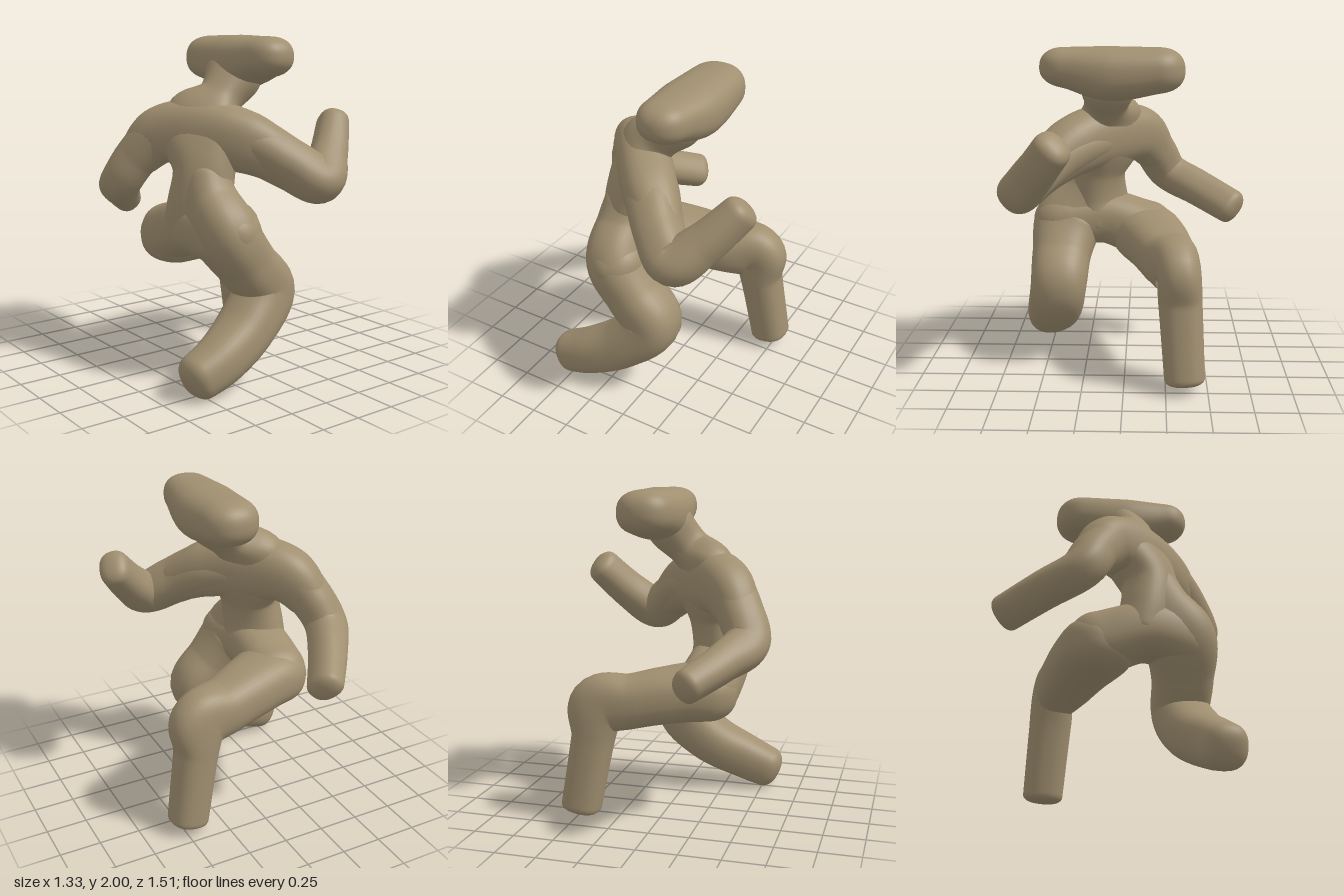
import * as THREE from 'three';

const material = new THREE.MeshStandardMaterial({ color: 0xa08f70 });

// Smooth limb: sections are [x, y, z, radius in bend plane, radius along axis],
// axis is the normal of the bend plane, capA/capB are the lengths of the rounded ends.
function limb(name, axis, sections, capA, capB, rings = 80, sides = 36) {
  const path = new THREE.CatmullRomCurve3(sections.map(s => new THREE.Vector3(s[0], s[1], s[2])));
  const radii = new THREE.CatmullRomCurve3(sections.map(s => new THREE.Vector3(s[3], s[4], 0)));
  const ref = new THREE.Vector3(...axis).normalize();
  const start = path.getPoint(0), end = path.getPoint(1);
  const round = d => {
    const q = 1 - Math.min(1, d);
    return Math.pow(Math.max(0, 1 - Math.pow(q, 2.4)), 1 / 2.4);
  };
  const power = v => Math.sign(v) * Math.pow(Math.abs(v), 0.84);
  const position = [], index = [];
  for (let i = 0; i <= rings; i++) {
    const t = (1 - Math.cos(Math.PI * i / rings)) / 2;
    const centre = path.getPoint(t), r = radii.getPoint(t), tangent = path.getTangent(t);
    const side = tangent.clone().cross(ref).normalize();
    const other = tangent.clone().cross(side);
    const scale = round(centre.distanceTo(start) / capA) * round(centre.distanceTo(end) / capB);
    for (let j = 0; j < sides; j++) {
      const a = 2 * Math.PI * j / sides;
      const p = centre.clone()
        .addScaledVector(side, r.x * scale * power(Math.cos(a)))
        .addScaledVector(other, r.y * scale * power(Math.sin(a)));
      position.push(p.x, p.y, p.z);
      if (i < rings) {
        const k = i * sides + j, l = i * sides + (j + 1) % sides;
        index.push(k, l, k + sides, l, l + sides, k + sides);
      }
    }
  }
  const geometry = new THREE.BufferGeometry();
  geometry.setAttribute('position', new THREE.Float32BufferAttribute(position, 3));
  geometry.setIndex(index);
  geometry.computeVertexNormals();
  const mesh = new THREE.Mesh(geometry, material);
  mesh.name = name;
  return mesh;
}

export function createModel() {
  const figure = new THREE.Group();
  figure.name = 'kneelingFigure';

  // Wide head, stretched sideways
  figure.add(limb('head', [0, 1, 0], [
    [0.10, 1.865, -0.355, 0.14, 0.12],
    [0.10, 1.86, -0.20, 0.175, 0.135],
    [0.095, 1.84, 0.08, 0.195, 0.16],
    [0.085, 1.875, 0.35, 0.155, 0.12],
    [0.08, 1.885, 0.505, 0.13, 0.105],
  ], 0.14, 0.14));

  // Torso, turned diagonally at the shoulders, narrowing to the neck
  figure.add(limb('torso', [0.7, 0, 0.75], [
    [-0.27, 0.77, 0.14, 0.14, 0.17],
    [-0.27, 0.88, 0.15, 0.16, 0.20],
    [-0.275, 1.02, 0.18, 0.155, 0.19],
    [-0.25, 1.20, 0.19, 0.16, 0.18],
    [-0.205, 1.40, 0.13, 0.165, 0.26],
    [-0.18, 1.53, 0.12, 0.145, 0.24],
    [-0.08, 1.64, 0.12, 0.125, 0.13],
    [0.03, 1.76, 0.10, 0.14, 0.17],
    [0.09, 1.86, 0.09, 0.12, 0.14],
  ], 0.1, 0.1));

  // Shoulder girdle, blending the chest into both upper arms
  figure.add(limb('shoulders', [0, 1, 0], [
    [-0.50, 1.22, -0.22, 0.11, 0.11],
    [-0.37, 1.41, -0.08, 0.15, 0.175],
    [-0.20, 1.43, 0.13, 0.165, 0.20],
    [-0.03, 1.38, 0.33, 0.16, 0.18],
    [0.18, 1.23, 0.53, 0.11, 0.12],
  ], 0.1, 0.1));

  // Pelvis, spanning from hip to hip
  figure.add(limb('pelvis', [0, 1, 0], [
    [-0.25, 0.78, -0.31, 0.16, 0.15],
    [-0.26, 0.81, -0.12, 0.19, 0.18],
    [-0.27, 0.89, 0.14, 0.185, 0.17],
    [-0.23, 0.87, 0.38, 0.18, 0.18],
    [-0.17, 0.82, 0.58, 0.14, 0.15],
  ], 0.16, 0.16));

  // Left arm, swung back
  figure.add(limb('leftArm', [0.079, -0.122, 0.109], [
    [-0.22, 1.44, 0.10, 0.12, 0.13],
    [-0.36, 1.43, -0.07, 0.145, 0.14],
    [-0.47, 1.29, -0.18, 0.135, 0.13],
    [-0.53, 1.14, -0.27, 0.135, 0.12],
    [-0.43, 1.05, -0.46, 0.11, 0.115],
    [-0.25, 0.935, -0.715, 0.09, 0.11],
  ], 0.1, 0.06));

  // Right arm, bent up in front
  figure.add(limb('rightArm', [-0.039, 0.155, 0.155], [
    [-0.20, 1.43, 0.10, 0.13, 0.14],
    [-0.02, 1.38, 0.33, 0.15, 0.16],
    [0.14, 1.26, 0.51, 0.14, 0.145],
    [0.28, 1.175, 0.605, 0.14, 0.13],
    [0.42, 1.285, 0.52, 0.115, 0.12],
    [0.61, 1.51, 0.36, 0.09, 0.11],
  ], 0.1, 0.07));

  // Left leg, thigh level and foot planted
  figure.add(limb('leftLeg', [0, 0, 1], [
    [-0.44, 0.77, -0.08, 0.15, 0.18],
    [-0.22, 0.79, -0.13, 0.175, 0.22],
    [-0.02, 0.77, -0.20, 0.17, 0.20],
    [0.17, 0.735, -0.26, 0.165, 0.175],
    [0.36, 0.705, -0.32, 0.185, 0.135],
    [0.395, 0.51, -0.335, 0.13, 0.13],
    [0.475, 0.035, -0.365, 0.12, 0.12],
  ], 0.16, 0.05));

  // Right leg, flowing from the waist, kneeling with the shin folded back
  figure.add(limb('rightLeg', [0, 0, 1], [
    [-0.25, 1.28, 0.18, 0.13, 0.14],
    [-0.265, 1.07, 0.25, 0.155, 0.175],
    [-0.23, 0.87, 0.37, 0.18, 0.22],
    [-0.10, 0.68, 0.41, 0.17, 0.185],
    [0.02, 0.52, 0.42, 0.175, 0.175],
    [-0.14, 0.33, 0.46, 0.16, 0.175],
    [-0.38, 0.19, 0.52, 0.145, 0.145],
    [-0.61, 0.095, 0.53, 0.125, 0.12],
  ], 0.1, 0.09));

  return figure;
}
